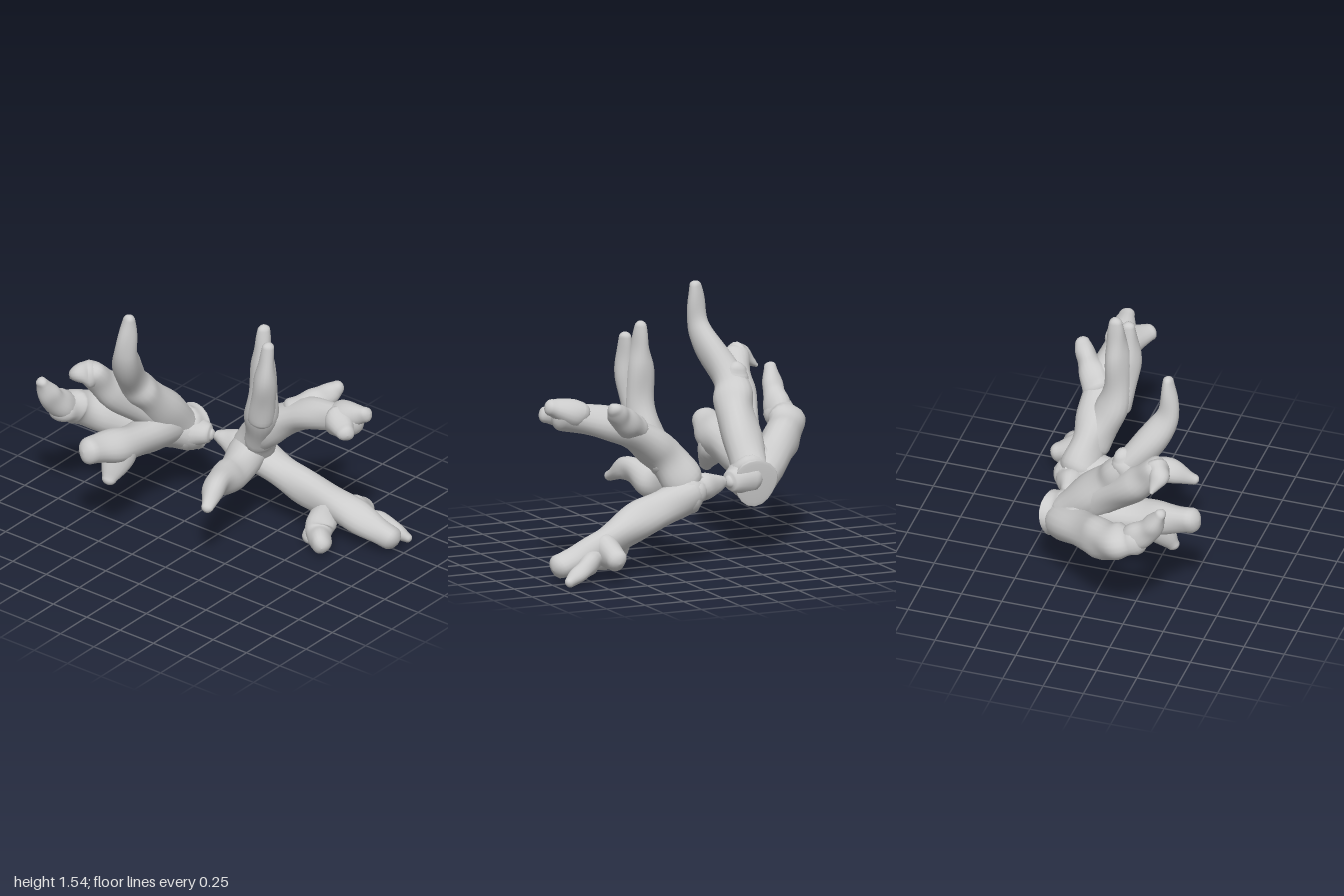
import * as THREE from 'three';

const SIDES = 20, STEPS = 10, CAP = 5;
const material = new THREE.MeshStandardMaterial({ color: 0xcccccc });

// Lumpy limb through the points. It thins from r0 to r1 mostly near its tip, or swells early if r1 is larger.
// startCap is the bulge of the first end: 0.7 is rounded, near 0 is cut flat.
function limb(group, name, [r0, r1, startCap = 0.7], ...points) {
  const curve = new THREE.CatmullRomCurve3(points.map(p => new THREE.Vector3(...p)));
  const n = (points.length - 1) * STEPS, seed = group.children.length * 1.7;
  const power = r1 > r0 ? 0.7 : 2;
  const ring = (t, dome = 0, scale = 0) => {
    const d = curve.getTangent(t), r = THREE.MathUtils.lerp(r0, r1, t ** power);
    const a = dome / CAP * Math.PI / 2;
    return { c: curve.getPoint(t).addScaledVector(d, r * scale * Math.sin(a)), d, r: r * Math.max(Math.cos(a), 1e-3) };
  };
  const rings = [];
  for (let k = CAP; k > 0; k--) rings.push(ring(0, k, -startCap));
  for (let i = 0; i <= n; i++) rings.push(ring(i / n));
  for (let k = 1; k <= CAP; k++) rings.push(ring(1, k, 0.9));

  // Sweep the rings, carrying the side direction along so the skin does not twist
  const pos = [], index = [];
  let u = Math.abs(rings[0].d.y) < 0.8 ? new THREE.Vector3(0, 1, 0) : new THREE.Vector3(1, 0, 0);
  rings.forEach(({ c, d, r }, j) => {
    u = u.clone().addScaledVector(d, -u.dot(d)).normalize();
    const v = new THREE.Vector3().crossVectors(d, u);
    for (let i = 0; i < SIDES; i++) {
      const a = i / SIDES * Math.PI * 2;
      const w = r * (1 + 0.06 * Math.sin(2 * a + j * 0.23 + seed) + 0.05 * Math.sin(3 * a - j * 0.37 + seed * 2)
        + 0.05 * Math.sin(j * 0.6 + seed * 3));
      const p = c.clone().addScaledVector(u, Math.cos(a) * w).addScaledVector(v, Math.sin(a) * w);
      pos.push(p.x, p.y, p.z);
      if (j > 0) {
        const a0 = (j - 1) * SIDES + i, a1 = (j - 1) * SIDES + (i + 1) % SIDES;
        index.push(a0, a1, a0 + SIDES, a1, a1 + SIDES, a0 + SIDES);
      }
    }
  });
  const geometry = new THREE.BufferGeometry();
  geometry.setAttribute('position', new THREE.Float32BufferAttribute(pos, 3));
  geometry.setIndex(index);
  geometry.computeVertexNormals();
  const mesh = new THREE.Mesh(geometry, material);
  mesh.name = name;
  group.add(mesh);
}

// Front piece: pointed root, low forward trunk with fingers, and three upper branches
function frontCoral() {
  const g = new THREE.Group();
  g.name = 'frontCoral';
  limb(g, 'root', [0.035, 0.115], [0.27, 0.48, -0.21], [0.29, 0.46, -0.07], [0.31, 0.44, 0.04]);
  limb(g, 'heel', [0.09, 0.07], [0.31, 0.46, 0], [0.36, 0.45, 0.01]);
  limb(g, 'lowTrunk', [0.108, 0.075], [0.31, 0.44, 0.02], [0.34, 0.33, 0.32], [0.42, 0.2, 0.65], [0.46, 0.11, 0.92]);
  limb(g, 'outerLump', [0.09, 0.066], [0.45, 0.19, 0.64], [0.585, 0.145, 0.63]);
  limb(g, 'outerFinger', [0.065, 0.03], [0.49, 0.14, 0.73], [0.57, 0.1, 0.83], [0.61, 0.04, 0.94]);
  limb(g, 'innerFinger', [0.085, 0.06], [0.38, 0.23, 0.52], [0.28, 0.1, 0.54], [0.18, 0.085, 0.63]);
  limb(g, 'innerKnob', [0.06, 0.045], [0.29, 0.12, 0.52], [0.25, 0.05, 0.49]);
  limb(g, 'forwardBranch', [0.115, 0.08], [0.28, 0.5, 0.04], [0.23, 0.7, 0.19], [0.26, 0.87, 0.46], [0.25, 0.96, 0.81]);
  limb(g, 'forwardInnerTip', [0.085, 0.053], [0.21, 0.95, 0.73], [0.12, 0.95, 0.86]);
  limb(g, 'forwardUpperTip', [0.09, 0.052], [0.25, 0.96, 0.72], [0.26, 1.02, 0.89]);
  limb(g, 'sideTwig', [0.085, 0.044], [0.27, 0.86, 0.36], [0.36, 0.93, 0.48], [0.425, 1.01, 0.56]);
  limb(g, 'uprightBranch', [0.1, 0.036], [0.23, 0.62, 0.14], [0.12, 0.88, 0.24], [0.11, 1.2, 0.25], [0.12, 1.43, 0.25]);
  limb(g, 'uprightSecondTip', [0.075, 0.036], [0.1, 0.84, 0.25], [0.05, 1.12, 0.31], [0.065, 1.36, 0.325]);
  limb(g, 'sideBranch', [0.105, 0.035], [0.29, 0.5, 0.04], [0, 0.45, 0.1], [-0.22, 0.5, 0.16], [-0.375, 0.435, 0.215]);
  return g;
}

// Back piece: cut base, rear branch, tall branch, curled branch and broad lobe
function backCoral() {
  const g = new THREE.Group();
  g.name = 'backCoral';
  limb(g, 'cutBase', [0.135, 0.12, 0.06], [0.31, 0.465, -0.41], [0.2, 0.48, -0.43], [0.06, 0.54, -0.51]);
  limb(g, 'baseCorner', [0.035, 0.115], [0.265, 0.475, -0.26], [0.22, 0.48, -0.38]);
  limb(g, 'rearBranch', [0.12, 0.09], [0.2, 0.47, -0.47], [-0.08, 0.6, -0.74], [-0.24, 0.68, -0.87], [-0.36, 0.72, -0.88]);
  limb(g, 'rearTip', [0.08, 0.037], [-0.34, 0.72, -0.87], [-0.46, 0.83, -0.885], [-0.53, 0.955, -0.9]);
  limb(g, 'tallBranch', [0.12, 0.035], [0.18, 0.52, -0.43], [-0.07, 0.8, -0.46], [-0.2, 0.97, -0.48], [-0.4, 1.27, -0.375],
    [-0.4, 1.52, -0.35]);
  limb(g, 'tallKnob', [0.09, 0.058], [-0.19, 0.95, -0.5], [-0.175, 1.04, -0.51]);
  limb(g, 'curledBranch', [0.1, 0.075], [0, 0.66, -0.47], [-0.28, 0.91, -0.58], [-0.41, 1.07, -0.62]);
  limb(g, 'curledTip', [0.075, 0.012], [-0.42, 1.07, -0.62], [-0.45, 1.06, -0.68], [-0.43, 1, -0.76]);
  limb(g, 'broadLobe', [0.115, 0.08], [0.1, 0.54, -0.45], [-0.3, 0.6, -0.46], [-0.575, 0.66, -0.495]);
  limb(g, 'lobeKnob', [0.105, 0.045], [-0.34, 0.59, -0.46], [-0.46, 0.435, -0.45]);
  return g;
}

export function createModel() {
  const model = new THREE.Group();
  model.name = 'branchingCoral';
  model.add(frontCoral(), backCoral());
  return model;
}
